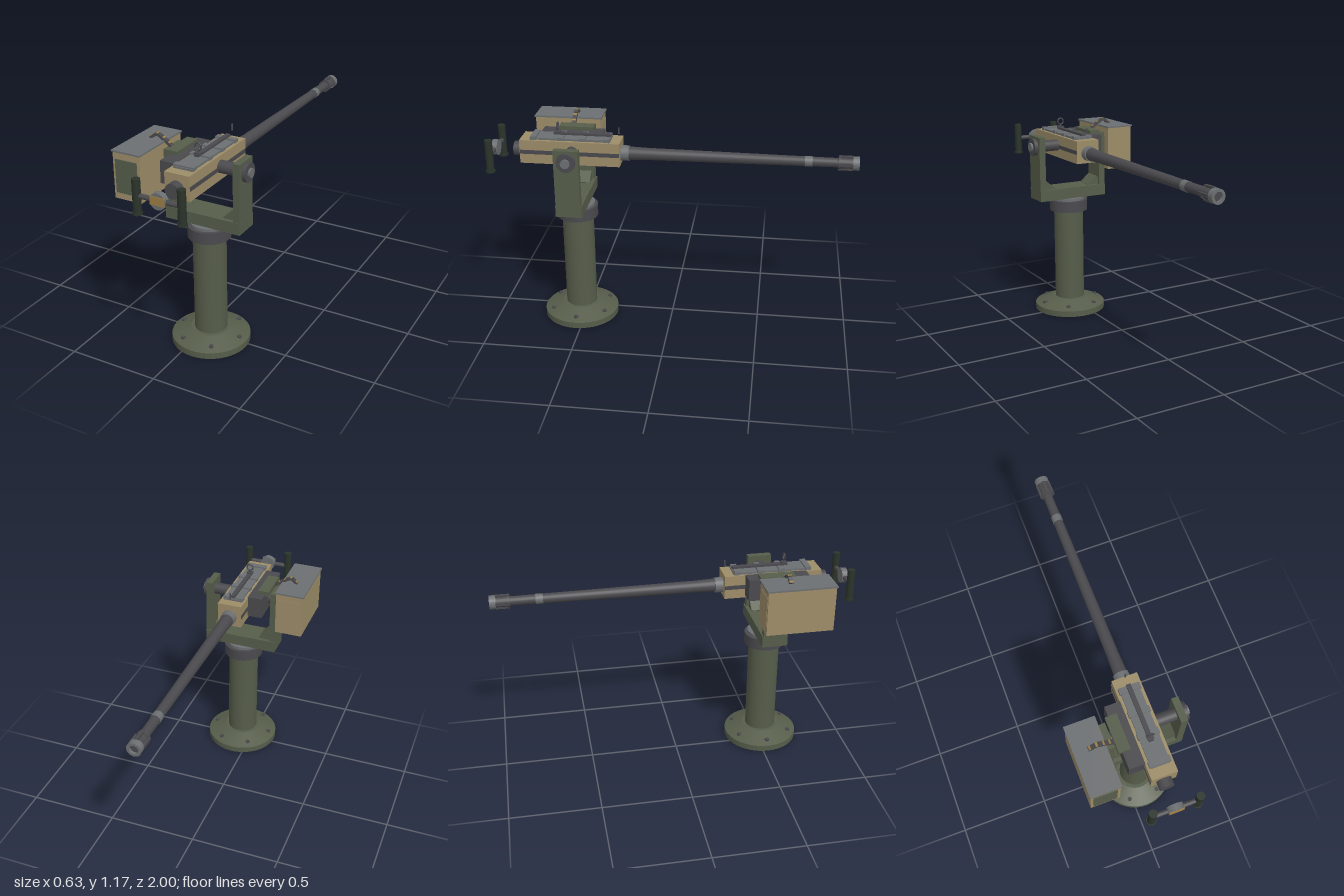
import * as THREE from 'three';

const mat = (name, color) => {
  const m = new THREE.MeshStandardMaterial({ color });
  m.name = name;
  return m;
};

export function createModel() {
  const olive = mat('olive paint', 0x565d4a);
  const tan = mat('tan paint', 0x9c8c68);
  const dark = mat('gunmetal', 0x4a494d);
  const steel = mat('grey steel', 0x6c6f71);
  const grip = mat('grip green', 0x2a332a);
  const brass = mat('brass', 0x9c7d45);
  const root = new THREE.Group();
  root.name = 'pedestalMount';

  const CX = 0.067, CZ = 0.53, BY = 1.007; // mount axis and bore height

  function add(name, geo, m, x = 0, y = 0, z = 0) {
    const mesh = new THREE.Mesh(geo, m);
    mesh.name = name;
    mesh.position.set(x, y, z);
    root.add(mesh);
    return mesh;
  }
  // box given by its limits on each axis
  const box = (name, m, x0, x1, y0, y1, z0, z1) =>
    add(name, new THREE.BoxGeometry(x1 - x0, y1 - y0, z1 - z0), m, (x0 + x1) / 2, (y0 + y1) / 2, (z0 + z1) / 2);
  // cylinders along each axis, running from a to b
  const cylY = (name, m, r, a, b, x, z, rTop = r, seg = 32) =>
    add(name, new THREE.CylinderGeometry(rTop, r, b - a, seg), m, x, (a + b) / 2, z);
  const cylX = (name, m, r, a, b, y, z) =>
    add(name, new THREE.CylinderGeometry(r, r, b - a, 24).rotateZ(Math.PI / 2), m, (a + b) / 2, y, z);
  const cylZ = (name, m, r, a, b, rb = r) =>
    add(name, new THREE.CylinderGeometry(rb, r, b - a, 24).rotateX(Math.PI / 2), m, CX, BY, (a + b) / 2);

  // pedestal
  cylY('baseFlange', olive, 0.212, 0, 0.035, CX, CZ, 0.212, 48);
  cylY('baseCone', olive, 0.212, 0.035, 0.076, CX, CZ, 0.108, 48);
  cylY('column', olive, 0.088, 0.07, 0.63, CX, CZ);
  cylY('swivelCollar', dark, 0.114, 0.625, 0.69, CX, CZ);
  cylY('swivelPlate', steel, 0.098, 0.69, 0.706, CX, CZ);
  for (let i = 0; i < 6; i++) {
    const a = (i * Math.PI) / 3;
    cylY('baseBolt', dark, 0.013, 0.04, 0.058, CX + 0.172 * Math.cos(a), CZ + 0.172 * Math.sin(a), 0.013, 6);
  }

  // yoke, with arms, braces and trunnions mirrored about the mount axis
  box('yokeBase', olive, -0.148, 0.283, 0.705, 0.77, 0.458, 0.602);
  for (const s of [-1, 1]) {
    const span = (a, b) => [CX + s * a, CX + s * b].sort((p, q) => p - q);
    box('yokeArm', olive, ...span(0.178, 0.2155), 0.705, 1.085, 0.465, 0.6);
    const brace = add('yokeBrace', new THREE.BoxGeometry(0.045, 0.075, 0.1), olive, CX + s * 0.153, 0.78, CZ);
    brace.rotation.z = s * -0.87;
    cylX('trunnion', dark, 0.033, ...span(0.06, 0.18), 1.024, CZ);
    cylX('trunnionCap', dark, 0.051, ...span(0.2155, 0.236), 1.024, CZ);
    cylX('trunnionNut', steel, 0.025, ...span(0.236, 0.248), 1.024, CZ);
  }

  // receiver
  box('receiver', tan, -0.002, 0.137, 0.95, 1.081, 0.272, 0.82);
  box('receiverRail', dark, -0.005, 0.14, 1.004, 1.026, 0.274, 0.818);
  cylZ('rearCap', dark, 0.04, 0.82, 0.865);
  box('coverPlate', steel, 0.016, 0.119, 1.08, 1.092, 0.325, 0.765);
  for (const z of [0.345, 0.475, 0.595, 0.745]) {
    box('coverRib', steel, 0.01, 0.125, 1.08, 1.1, z - 0.016, z + 0.016);
  }
  box('sightRail', dark, 0.055, 0.079, 1.1, 1.112, 0.325, 0.64);

  // sights
  box('rearSightBase', dark, 0.05, 0.084, 1.11, 1.118, 0.605, 0.635);
  cylY('rearSightStem', dark, 0.005, 1.116, 1.13, CX, 0.62, 0.005, 12);
  add('rearSightRing', new THREE.TorusGeometry(0.018, 0.004, 8, 28), dark, CX, 1.148, 0.62);
  cylY('frontSightPost', dark, 0.005, 1.115, 1.15, CX, 0.284, 0.005, 12);

  // grips at the rear
  cylZ('triggerHousing', steel, 0.043, 0.957, 0.989);
  box('triggerPlate', brass, 0.028, 0.106, 0.988, 1.031, 0.985, 0.993);
  cylX('gripBar', dark, 0.013, -0.057, 0.191, BY, 0.973);
  for (const s of [-1, 1]) {
    const x = CX + s * 0.124;
    cylY('grip', grip, 0.021, 0.92, 1.093, x, 0.974);
    cylY('gripFlange', grip, 0.026, 0.911, 0.921, x, 0.974);
  }

  // barrel
  cylZ('barrelCollar', steel, 0.042, 0.228, 0.272);
  cylZ('barrelRear', dark, 0.032, 0.1, 0.23, 0.037);
  cylZ('barrel', dark, 0.025, -0.9, 0.1, 0.033);
  cylZ('barrelBand', steel, 0.028, -0.755, -0.715);
  cylZ('muzzleCollar', dark, 0.034, -0.905, -0.89);
  cylZ('muzzleCore', dark, 0.029, -0.985, -0.9);
  // hollow muzzle ring
  const ring = [[0.024, -0.984], [0.038, -0.965], [0.038, -1], [0.024, -1], [0.024, -0.984]]
    .map(([r, z]) => new THREE.Vector2(r, z));
  const ringMat = steel.clone();
  ringMat.side = THREE.DoubleSide;
  add('muzzleRing', new THREE.LatheGeometry(ring, 24).rotateX(Math.PI / 2).toNonIndexed(), ringMat, CX, BY, 0)
    .geometry.computeVertexNormals();
  for (let i = 0; i < 4; i++) {
    const a = (i * Math.PI) / 2;
    const prong = add('muzzleProng', new THREE.BoxGeometry(0.012, 0.016, 0.075), dark,
      CX + 0.034 * Math.cos(a), BY + 0.034 * Math.sin(a), -0.93);
    prong.rotation.z = a;
  }

  // feed mechanism
  box('feedBlock', dark, -0.085, 0, 0.965, 1.085, 0.387, 0.73);
  box('feedTray', olive, -0.105, -0.042, 1.075, 1.105, 0.445, 0.64);

  // ammunition box
  box('ammoBox', tan, -0.312, -0.155, 0.865, 1.115, 0.43, 0.8);
  box('ammoBoxLid', steel, -0.317, -0.15, 1.114, 1.123, 0.424, 0.806);
  box('ammoBoxPanel', olive, -0.298, -0.172, 0.9, 1.078, 0.798, 0.805);
  box('ammoBoxBackPanel', tan, -0.298, -0.172, 0.9, 1.078, 0.428, 0.43);

  // belt of rounds and links
  const belt = new THREE.CatmullRomCurve3([[-0.23, 1.128], [-0.2, 1.147], [-0.155, 1.126], [-0.1, 1.087]]
    .map(([x, y]) => new THREE.Vector3(x, y, 0.573)));
  for (let i = 0; i < 9; i++) {
    const p = belt.getPointAt(i / 8), t = belt.getTangentAt(i / 8);
    const link = add('beltLink', new THREE.BoxGeometry(0.019, 0.014, 0.024), dark, p.x, p.y, p.z);
    link.rotation.z = Math.atan2(t.y, t.x);
    if (i % 2 === 0) {
      add('beltRound', new THREE.CylinderGeometry(0.009, 0.009, 0.022, 12).rotateX(Math.PI / 2), brass, p.x, p.y + 0.001, p.z);
    }
  }
  return root;
}
